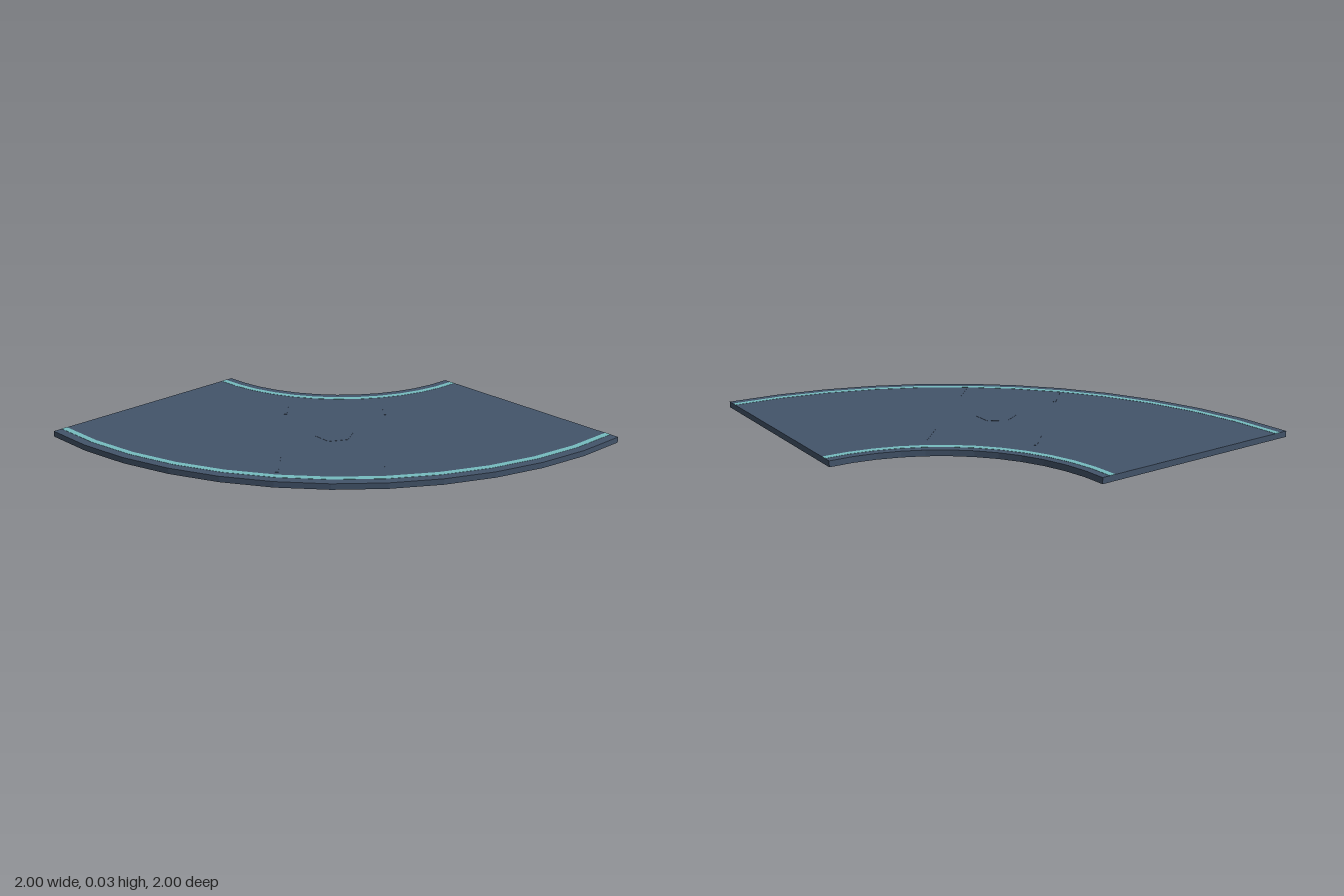
import * as THREE from 'three';

const SEGMENTS = 12;
const TOP = 0.03;

// Quarter ring around the corner (1, -1), extruded upward from y0 to y1
function quarterRing(inner, outer, y0, y1) {
  const points = [];
  const at = (r, i) => {
    const a = Math.PI + (i / SEGMENTS) * Math.PI / 2;
    return new THREE.Vector2(1 + r * Math.cos(a), 1 + r * Math.sin(a));
  };
  for (let i = 0; i <= SEGMENTS; i++) points.push(at(outer, i));
  for (let i = SEGMENTS; i >= 0; i--) points.push(at(inner, i));
  const geometry = new THREE.ExtrudeGeometry(new THREE.Shape(points), { depth: y1 - y0, bevelEnabled: false });
  return geometry.rotateX(-Math.PI / 2).translate(0, y0, 0);
}

export function createModel() {
  const group = new THREE.Group();
  const slate = new THREE.MeshStandardMaterial({ name: 'slate blue', color: 0x43546a });
  const teal = new THREE.MeshStandardMaterial({ name: 'pale teal', color: 0x76bcc0 });

  const add = (name, geometry, material) => {
    const mesh = new THREE.Mesh(geometry, material);
    mesh.name = name;
    group.add(mesh);
    return mesh;
  };

  // Curved slab
  add('curvedSlab', quarterRing(0.857, 2, 0, TOP), slate);

  // Edge stripes following both curves
  add('innerStripe', quarterRing(0.897, 0.927, TOP - 0.001, TOP + 0.001), teal);
  add('outerStripe', quarterRing(1.925, 1.955, TOP - 0.001, TOP + 0.001), teal);

  // Barely raised hexagonal plate in the middle
  add('centrePlate', new THREE.CylinderGeometry(0.1, 0.1, 0.002, 6), slate).position.set(0, TOP, 0);

  // Four barely raised bars, pointing toward the inner corner
  for (const [x, z] of [[-0.45, 0.09], [-0.09, 0.45], [0.06, -0.43], [0.43, -0.07]]) {
    const bar = add('surfaceBar', new THREE.BoxGeometry(0.17, 0.002, 0.015), slate);
    bar.position.set(x, TOP, z);
    bar.rotation.y = Math.PI / 4;
  }

  return group;
}
